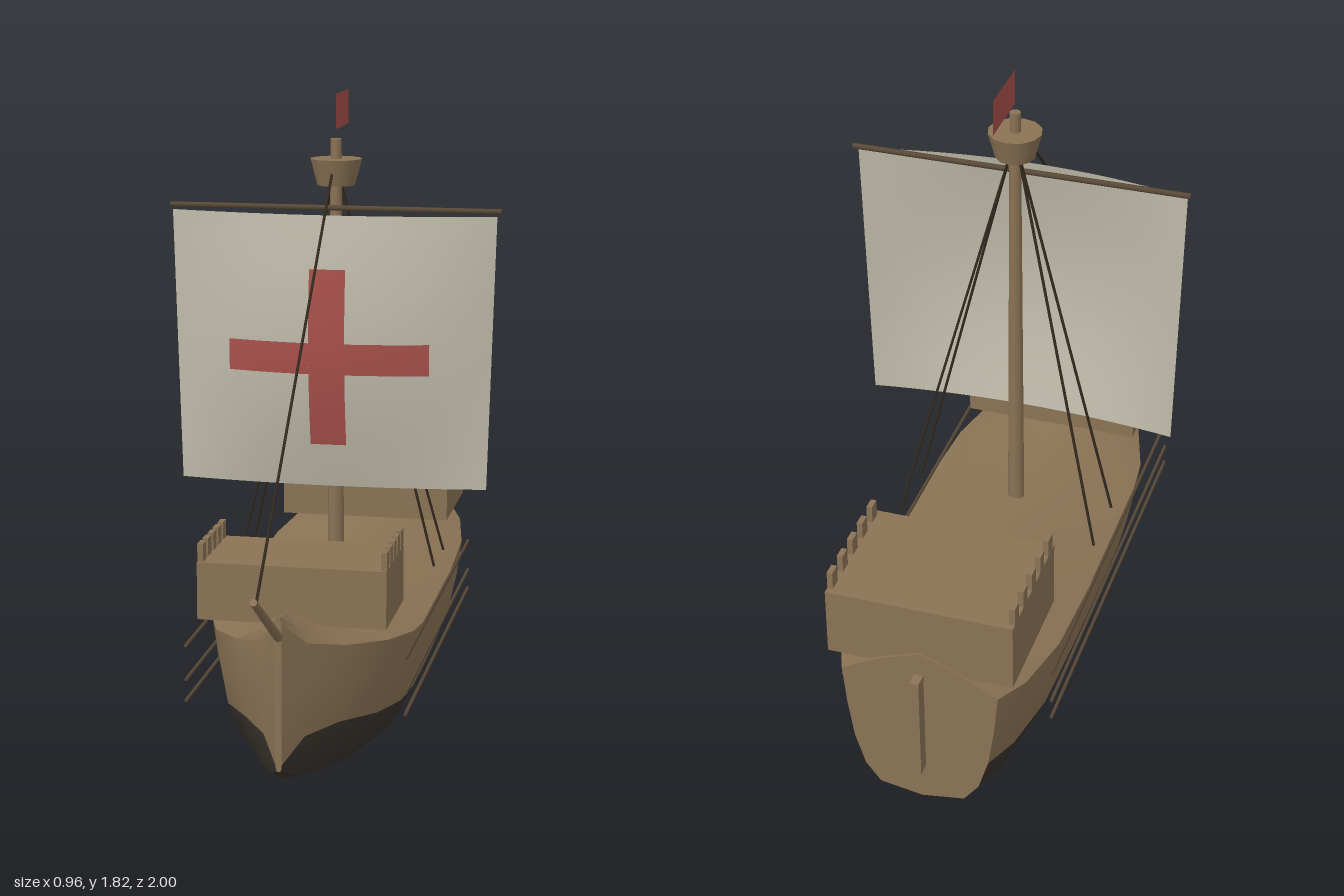
import * as THREE from 'three';
import { toCreasedNormals } from 'three/addons/utils/BufferGeometryUtils.js';

const material = (name, color, side = THREE.FrontSide) => {
  const m = new THREE.MeshStandardMaterial({ color, side });
  m.name = name;
  return m;
};

export function createModel() {
  const ship = new THREE.Group();
  ship.name = 'sailingShip';
  const wood = material('wood', 0x8b7355);
  const tar = material('tarredHull', 0x38322c);
  const rope = material('rope', 0x33291f);
  const darkWood = material('darkWood', 0x5a4a38);
  const canvas = material('canvas', 0xbfbaa9, THREE.DoubleSide);
  const red = material('redCloth', 0xa8504a, THREE.DoubleSide);

  const add = (name, geometry, mat, parent = ship) => {
    const mesh = new THREE.Mesh(geometry, mat);
    mesh.name = name;
    parent.add(mesh);
    return mesh;
  };
  const box = (name, w, h, d, x, y, z, mat, parent) =>
    add(name, new THREE.BoxGeometry(w, h, d), mat, parent).position.set(x, y, z);
  // Round bar between two points
  const rod = (name, from, to, r0, r1, mat, sides = 6) => {
    const a = new THREE.Vector3(...from), b = new THREE.Vector3(...to);
    const dir = b.clone().sub(a);
    const mesh = add(name, new THREE.CylinderGeometry(r1, r0, dir.length(), sides), mat);
    mesh.position.copy(a).add(b).multiplyScalar(0.5);
    mesh.quaternion.setFromUnitVectors(new THREE.Vector3(0, 1, 0), dir.normalize());
  };

  // Hull stations: z, half width, keel, waterline, gunwale, deck centre
  const stations = [
    [-0.96, 0.22, 0.015, 0.185, 0.42, 0.52],
    [-0.85, 0.265, 0.008, 0.175, 0.4, 0.5],
    [-0.65, 0.298, 0.002, 0.16, 0.38, 0.47],
    [-0.35, 0.303, 0, 0.15, 0.36, 0.445],
    [-0.1, 0.304, 0, 0.147, 0.352, 0.433],
    [0.1, 0.303, 0, 0.147, 0.352, 0.435],
    [0.25, 0.29, 0.002, 0.152, 0.36, 0.45],
    [0.4, 0.243, 0.01, 0.165, 0.377, 0.465],
    [0.54, 0.152, 0.025, 0.182, 0.4, 0.485],
    [0.64, 0.065, 0.045, 0.17, 0.43, 0.505],
    [0.71, 0.01, 0.09, 0.11, 0.5, 0.52],
  ];
  const ringSize = 14, points = [], dark = [], light = [];
  for (const [z, w, k, l, g, c] of stations) {
    const half = [
      [0, k], [0.55, k + 0.12 * (l - k)], [0.74, k + 0.45 * (l - k)], [0.87, l],
      [0.95, (l + g) / 2], [1, g], [0.5, (g + c) / 2 + 0.01], [0, c],
    ];
    const mirrored = half.slice(1, 7).reverse().map(([x, y]) => [-x, y]);
    for (const [x, y] of [...half, ...mirrored]) points.push(x * w, y, z);
  }
  const last = (stations.length - 1) * ringSize;
  for (let j = 0; j < ringSize; j++) {
    const n = (j + 1) % ringSize;
    for (let s = 0; s < last; s += ringSize) {
      const target = j < 3 || j >= 11 ? dark : light;
      target.push(s + j, s + n, s + ringSize + j, s + n, s + ringSize + n, s + ringSize + j);
    }
    if (j > 0 && j < ringSize - 1) light.push(0, n, j, last, last + j, last + n);
  }
  const hull = new THREE.BufferGeometry();
  hull.setAttribute('position', new THREE.Float32BufferAttribute(points, 3));
  hull.setIndex([...light, ...dark]);
  hull.addGroup(0, light.length, 0);
  hull.addGroup(light.length, dark.length, 1);
  add('hull', toCreasedNormals(hull, 0.65), [wood, tar]);

  // Rudder and side wales
  box('rudder', 0.026, 0.32, 0.045, 0, 0.29, -0.9775, wood);
  for (const side of [-1, 1]) {
    for (const y of [0.2, 0.26, 0.357]) {
      rod('wale', [side * 0.306, y, -0.75], [side * 0.306, y, 0.5], 0.005, 0.005, darkWood);
    }
  }

  // Castles with battlements along both sides
  const castle = (name, z0, z1, y0, y1, pitch) => {
    const group = new THREE.Group();
    group.name = name;
    ship.add(group);
    const mid = (z0 + z1) / 2;
    box('castleBody', 0.52, y1 - y0, z1 - z0, 0, (y0 + y1) / 2, mid, wood, group);
    for (const side of [-1, 1]) {
      for (let i = -2; i <= 2; i++) {
        box('merlon', 0.016, 0.05, 0.036, side * 0.252, y1 + 0.025, mid + i * pitch, wood, group);
      }
    }
  };
  castle('foreCastle', 0.26, 0.545, 0.45, 0.61, 0.058);
  castle('aftCastle', -0.952, -0.577, 0.465, 0.663, 0.075);

  // Mast, lookout and spars
  rod('mast', [0, 0.42, -0.095], [0, 1.697, -0.095], 0.025, 0.016, wood, 8);
  add('crowsNest', new THREE.CylinderGeometry(0.075, 0.055, 0.075, 12), wood)
    .position.set(0, 1.603, -0.095);
  rod('yard', [-0.48, 1.503, -0.063], [0.48, 1.503, -0.063], 0.008, 0.008, darkWood);
  rod('bowsprit', [0, 0.46, 0.7], [0, 0.643, 0.995], 0.013, 0.01, wood, 8);

  // Rigging
  rod('forestay', [0, 1.6, -0.03], [0, 0.63, 0.965], 0.004, 0.004, rope);
  for (const side of [-1, 1]) {
    for (const z of [-0.1, -0.287]) {
      rod('shroud', [side * 0.01, 1.58, -0.1], [side * 0.292, 0.45, z], 0.004, 0.004, rope);
    }
  }

  // Billowing cloth patch between x0..x1 and y0..y1
  const cloth = (name, x0, x1, y0, y1, offset, mat) => {
    const g = new THREE.PlaneGeometry(1, 1, 16, 12);
    const p = g.attributes.position;
    for (let i = 0; i < p.count; i++) {
      const x = THREE.MathUtils.lerp(x0, x1, p.getX(i) + 0.5);
      const y = THREE.MathUtils.lerp(y0, y1, p.getY(i) + 0.5);
      const t = (y - 0.7) / 0.79;
      const depth = 0.035 + 0.025 * t + 0.052 * Math.sin(Math.PI * t);
      p.setXYZ(i, x, y, -0.05 + depth * (1 - (x / 0.47) ** 2) + offset);
    }
    g.computeVertexNormals();
    return add(name, g, mat);
  };
  const sail = cloth('sail', -0.47, 0.47, 0.7, 1.49, 0, canvas);
  // Narrow the sail slightly toward its foot
  const sp = sail.geometry.attributes.position;
  for (let i = 0; i < sp.count; i++) sp.setX(i, sp.getX(i) * (0.955 + 0.045 * (sp.getY(i) - 0.7) / 0.79));
  cloth('crossUpright', -0.052, 0.052, 0.83, 1.34, 0.006, red);
  for (const side of [-1, 1]) {
    cloth('crossArm', side < 0 ? -0.29 : 0.052, side < 0 ? -0.052 : 0.29, 1.04, 1.13, 0.006, red);
  }

  // Pennant
  const flag = add('flag', new THREE.PlaneGeometry(0.19, 0.1), red);
  flag.rotation.y = Math.PI / 2;
  flag.position.set(0, 1.773, -0.19);
  return ship;
}
